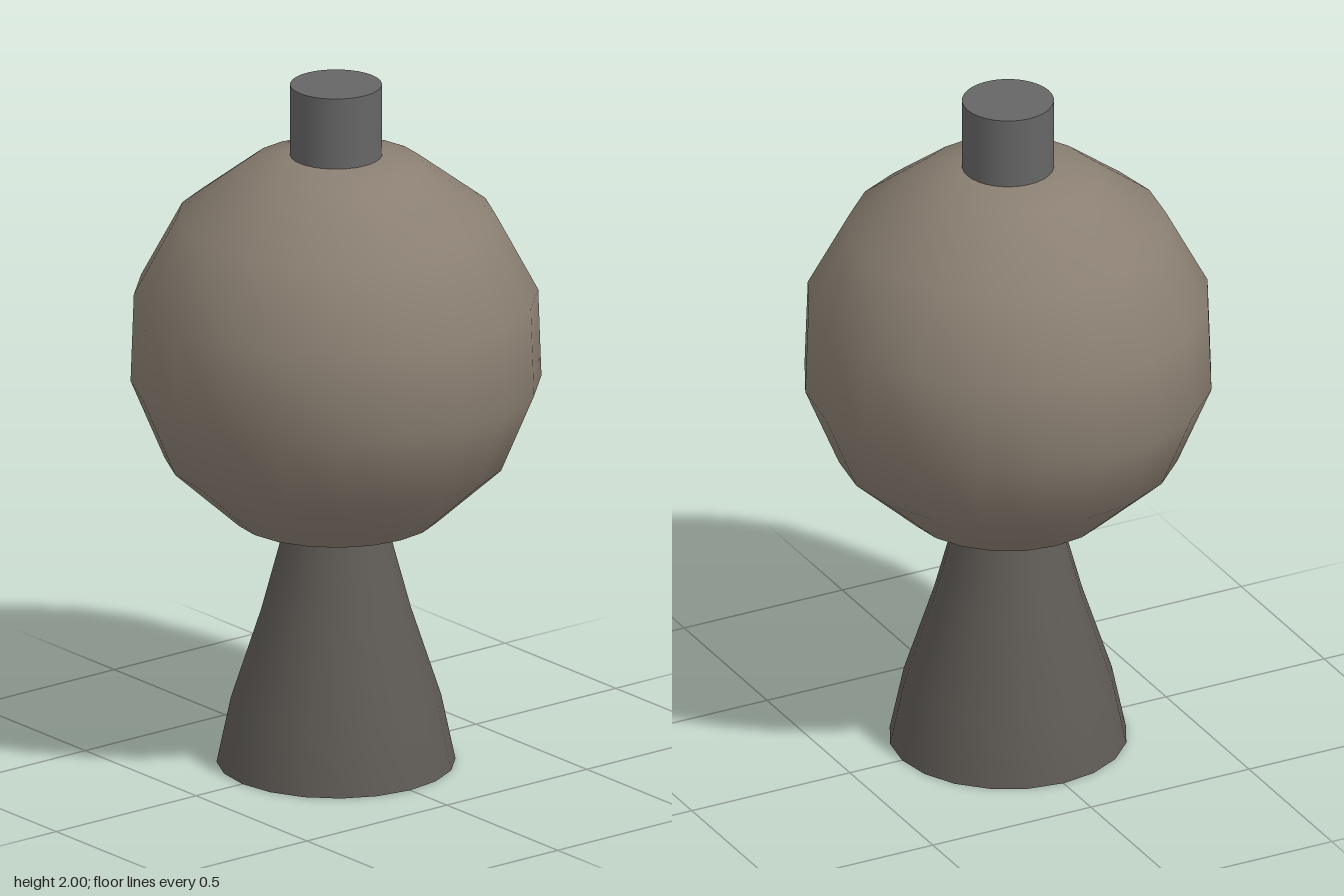
import * as THREE from 'three';

const SIDES = 20;

function material(color) {
  return new THREE.MeshStandardMaterial({ color });
}

function add(group, name, geometry, mat) {
  const mesh = new THREE.Mesh(geometry, mat);
  mesh.name = name;
  group.add(mesh);
  return mesh;
}

// Turned surface from [radius, height] pairs; rising points face outwards.
function turned(points) {
  return new THREE.LatheGeometry(points.map(([r, y]) => new THREE.Vector2(r, y)), SIDES);
}

export function createModel() {
  const group = new THREE.Group();
  const ballMat = material(0x8a7f72);
  const stemMat = material(0x5e5a55);
  const capMat = material(0x666666);

  // Flared hollow stem: outer wall, flat rim, inner wall
  const outer = [[0.335, 0], [0.295, 0.19], [0.21, 0.45], [0.135, 0.73]];
  const inner = [[0, 0.7], [0.11, 0.7], [0.185, 0.45], [0.27, 0.19], [0.31, 0]];
  const stem = new THREE.Group();
  stem.name = 'stem';
  add(stem, 'stemOuterWall', turned(outer), stemMat);
  add(stem, 'stemInnerWall', turned(inner), stemMat);
  add(stem, 'stemRim', new THREE.RingGeometry(0.31, 0.335, SIDES), stemMat).rotation.x = Math.PI / 2;
  group.add(stem);

  // Faceted-outline ball with a flat underside
  const ball = new THREE.Group();
  ball.name = 'ball';
  add(ball, 'ballShell', turned([
    [0.29, 0.727], [0.48, 0.9], [0.576, 1.13], [0.567, 1.385],
    [0.447, 1.61], [0.245, 1.765], [0.12, 1.795], [0, 1.8],
  ]), ballMat);
  const underside = add(ball, 'ballUnderside', new THREE.CircleGeometry(0.29, SIDES), ballMat);
  underside.rotation.x = Math.PI / 2;
  underside.position.y = 0.727;
  group.add(ball);

  // Short round plug on top
  const plug = add(group, 'topPlug', new THREE.CylinderGeometry(0.129, 0.129, 0.26, 32), capMat);
  plug.position.y = 1.87;

  return group;
}
